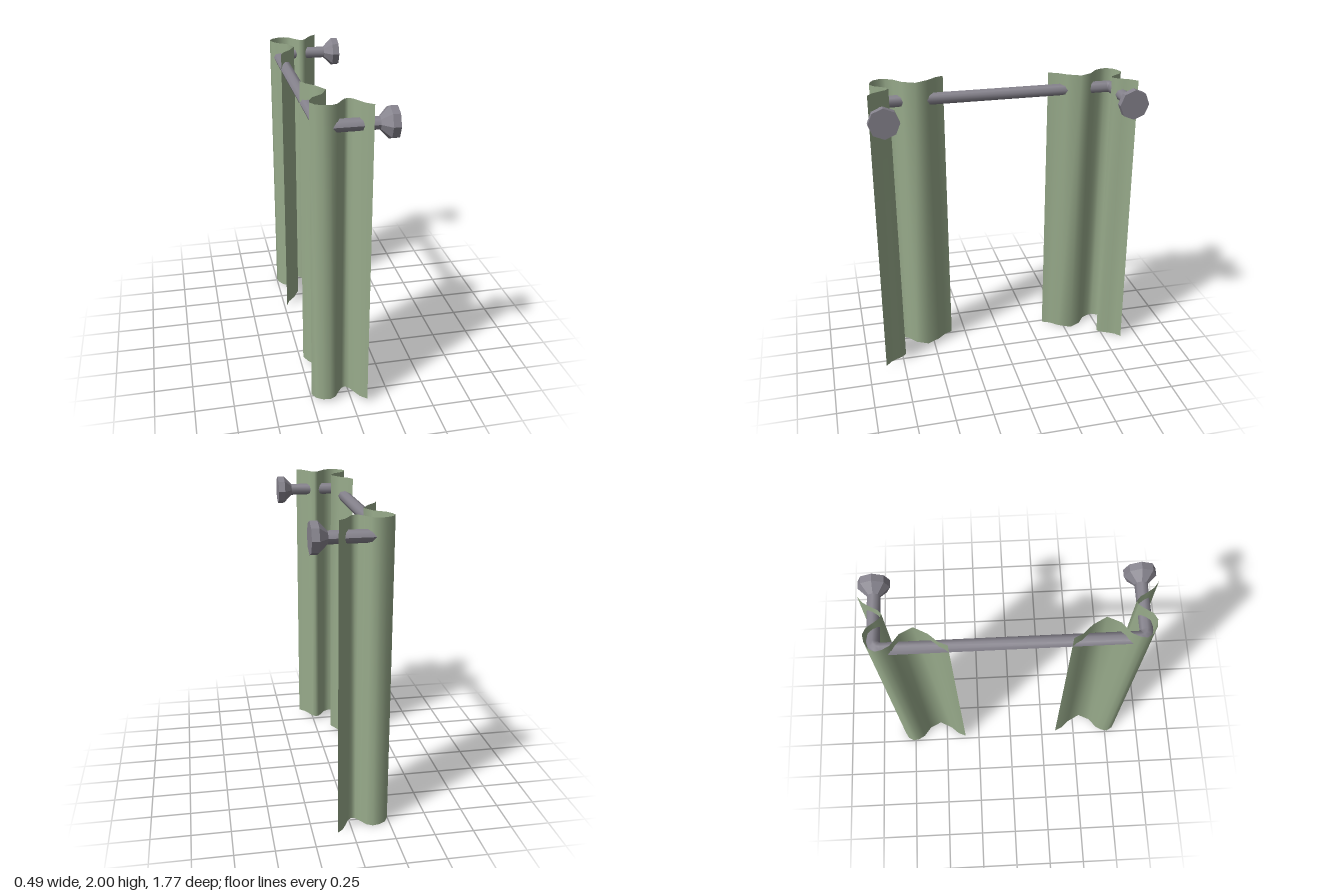
import * as THREE from 'three';

const ROD_Y = 1.865, ROD_R = 0.04, SIDES = 8;

// Indexed surface from rows of points, smooth across shared vertices
function loft(rows) {
  const n = rows[0].length, index = [];
  for (let i = 0; i < rows.length - 1; i++) {
    for (let j = 0; j < n - 1; j++) {
      const a = i * n + j, b = a + 1, c = a + n, d = c + 1;
      index.push(a, c, b, b, c, d);
    }
  }
  const geo = new THREE.BufferGeometry();
  geo.setAttribute('position', new THREE.Float32BufferAttribute(rows.flat(2), 3));
  geo.setIndex(index);
  geo.computeVertexNormals();
  return geo;
}

// U-shaped rail: octagonal rings along the path, turning around the inner corners
function railGeometry() {
  const px = -0.15, pz = 0.75;
  const stations = [[0.16, -pz, -90]];
  for (const deg of [-90, -60, -30, 0]) stations.push([px, -pz, deg]);
  for (const deg of [0, 30, 60, 90]) stations.push([px, pz, deg]);
  stations.push([0.16, pz, 90]);
  const rows = stations.map(([x, z, deg]) => {
    const t = THREE.MathUtils.degToRad(deg);
    const ox = -Math.cos(t), oz = Math.sin(t);
    const ring = [];
    for (let j = 0; j <= SIDES; j++) {
      const a = (j / SIDES) * Math.PI * 2;
      const r = ROD_R + ROD_R * Math.cos(a);
      ring.push([x + ox * r, ROD_Y + ROD_R * Math.sin(a), z + oz * r]);
    }
    return ring;
  });
  return loft(rows);
}

// Faceted end knob, flaring outwards along +x
function knobGeometry() {
  const profile = [[0.04, 0.145], [0.097, 0.2], [0.097, 0.245], [0, 0.245]]
    .map(([r, h]) => new THREE.Vector2(r, h));
  const geo = new THREE.LatheGeometry(profile, SIDES).toNonIndexed();
  geo.rotateZ(-Math.PI / 2);
  geo.computeVertexNormals();
  return geo;
}

// Curtain folds in plan (x, z), weaving in and out around the rail
const FOLDS = [
  [-0.23, 0.355], [-0.205, 0.41], [-0.155, 0.465], [-0.11, 0.55], [-0.15, 0.63],
  [-0.215, 0.68], [-0.24, 0.725], [-0.248, 0.765], [-0.225, 0.805], [-0.185, 0.828],
  [-0.14, 0.836], [-0.1, 0.815], [-0.07, 0.77], [-0.045, 0.738], [-0.02, 0.728],
  [0.005, 0.75], [0.03, 0.795], [0.055, 0.835], [0.095, 0.867],
];

function curtainGeometry(side, bottom, top) {
  const row = (y, flare) => FOLDS.map(([x, z]) =>
    [x, y, side * (z + flare * THREE.MathUtils.smoothstep(x, -0.02, 0.095))]);
  const rows = [row(bottom, 0.012), row(top, 0)];
  return loft(side > 0 ? rows : rows.reverse());
}

export function createModel() {
  const group = new THREE.Group();
  const metal = new THREE.MeshStandardMaterial({ color: 0x85828c });
  metal.name = 'greyMetal';
  const cloth = new THREE.MeshStandardMaterial({ color: 0x98ab8b, side: THREE.DoubleSide });
  cloth.name = 'greenCloth';

  const add = (name, geo, mat) => {
    const mesh = new THREE.Mesh(geo, mat);
    mesh.name = name;
    group.add(mesh);
    return mesh;
  };

  add('curtainRail', railGeometry(), metal);
  for (const side of [1, -1]) {
    const label = side > 0 ? 'front' : 'back';
    add(label + 'Knob', knobGeometry(), metal).position.set(0, ROD_Y, side * 0.79);
    const lift = side > 0 ? 0.025 : 0;
    add(label + 'Curtain', curtainGeometry(side, lift, 1.975 + lift), cloth);
  }
  return group;
}
